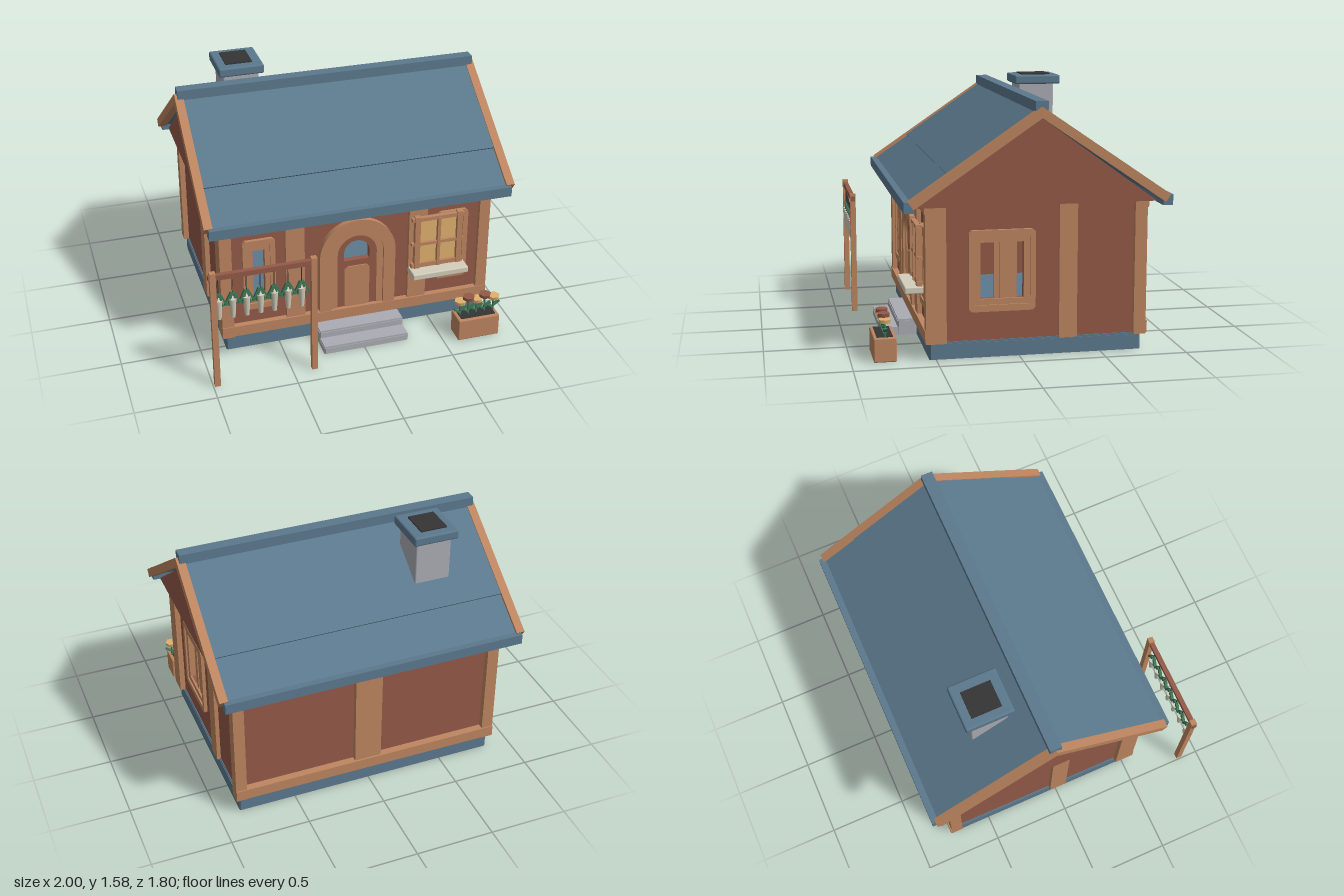
import * as THREE from 'three';
import { RoundedBoxGeometry } from 'three/addons/geometries/RoundedBoxGeometry.js';

const mat = (name, color) => {
  const m = new THREE.MeshStandardMaterial({ color });
  m.name = name;
  return m;
};

export function createModel() {
  const root = new THREE.Group();
  root.name = 'cottage';
  const trim = mat('timber', 0xbd8560);
  const wall = mat('wallBrown', 0x935a48);
  const roof = mat('slateBlue', 0x5b798d);
  const stone = mat('stone', 0xabacb4);
  const soot = mat('soot', 0x353535);
  const glow = mat('windowGlow', 0xe0b06e);
  const cream = mat('cream', 0xd4cebb);
  const leaf = mat('leafGreen', 0x3f7a5a);

  const add = (name, geo, m, parent = root) => {
    const mesh = new THREE.Mesh(geo, m);
    mesh.name = name;
    parent.add(mesh);
    return mesh;
  };
  // Box from its limits, optionally with softened edges
  const box = (name, m, x0, x1, y0, y1, z0, z1, parent = root, r = 0) => {
    const s = [x1 - x0, y1 - y0, z1 - z0];
    const geo = r ? new RoundedBoxGeometry(...s, 2, r) : new THREE.BoxGeometry(...s);
    const mesh = add(name, geo, m, parent);
    mesh.position.set((x0 + x1) / 2, (y0 + y1) / 2, (z0 + z1) / 2);
    return mesh;
  };
  const group = (name, x = 0, y = 0, z = 0) => {
    const g = new THREE.Group();
    g.name = name;
    g.position.set(x, y, z);
    root.add(g);
    return g;
  };
  const plate = (name, shape, depth, m, z, parent) => {
    const geo = new THREE.ExtrudeGeometry(shape, { depth, bevelEnabled: false, curveSegments: 16 });
    const mesh = add(name, geo, m, parent);
    mesh.position.z = z;
    return mesh;
  };
  // Rectangle with cut corners, centred on cx, cy
  const rect = (cx, cy, w, h, c = 0, Type = THREE.Shape) => {
    const a = w / 2, b = h / 2;
    const pts = c
      ? [[c - a, -b], [a - c, -b], [a, c - b], [a, b - c], [a - c, b], [c - a, b], [-a, b - c], [-a, c - b]]
      : [[-a, -b], [a, -b], [a, b], [-a, b]];
    return new Type(pts.map(([x, y]) => new THREE.Vector2(cx + x, cy + y)));
  };
  // Upright shape with a round head
  const arch = (cx, r, y0, yc, Type = THREE.Shape) => {
    const s = new Type();
    s.moveTo(cx - r, y0);
    s.lineTo(cx + r, y0);
    s.lineTo(cx + r, yc);
    s.absarc(cx, yc, r, 0, Math.PI, false);
    s.closePath();
    return s;
  };
  // Slab open underneath: a rim with a lid
  const hollowSlab = (name, m, x0, x1, h, z0, z1, t) => {
    const g = group(name);
    const cx = (x0 + x1) / 2, cy = -(z0 + z1) / 2;
    const rim = rect(cx, cy, x1 - x0, z1 - z0, 0.008);
    rim.holes.push(rect(cx, cy, x1 - x0 - 2 * t, z1 - z0 - 2 * t, 0, THREE.Path));
    plate(name + 'Rim', rim, h - 0.012, m, 0, g).rotation.x = -Math.PI / 2;
    box(name + 'Top', m, x0 + 0.004, x1 - 0.004, h - 0.014, h, z0 + 0.004, z1 - 0.004, g);
  };

  const X0 = -0.83, X1 = 0.855, CX = 0.0125, ZC = -0.105;
  const winY = 0.525, winH = 0.49, openH = 0.34;

  // Foundation and steps
  hollowSlab('foundation', roof, -0.84, 0.865, 0.105, -0.75, 0.54, 0.02);
  hollowSlab('upperStep', stone, -0.265, 0.29, 0.1, 0.54, 0.66, 0.012);
  hollowSlab('lowerStep', stone, -0.265, 0.29, 0.05, 0.65, 0.763, 0.012);

  // Front and back walls, the front one pierced
  const frontShape = rect(CX, 0.51, X1 - X0, 0.82);
  for (const x of [-0.617, 0.645]) frontShape.holes.push(rect(x, winY, 0.075, openH, 0, THREE.Path));
  frontShape.holes.push(arch(CX, 0.083, 0.515, 0.572, THREE.Path));
  plate('frontWall', frontShape, 0.03, wall, 0.5, root);
  box('backWall', wall, X0, X1, 0.1, 0.92, -0.735, -0.705);

  // Side walls with overhanging gables; local x runs towards the back
  for (const side of [1, -1]) {
    const g = group(side > 0 ? 'leftSide' : 'rightSide', side > 0 ? X1 : X0);
    g.rotation.y = Math.PI / 2;
    const s = rect(-ZC, 0.51, 1.27, 0.82);
    if (side > 0) s.holes.push(rect(-0.104, winY, 0.26, openH, 0, THREE.Path));
    plate('sideWall', s, 0.03, wall, side > 0 ? -0.03 : 0, g);
    const gable = new THREE.Shape([[-0.61, 0.922], [0.82, 0.922], [-ZC, 1.437]].map((p) => new THREE.Vector2(...p)));
    plate('gable', gable, 0.03, wall, side > 0 ? 0.045 : -0.075, g);
  }

  // Corner posts, wall posts and beams
  for (const [x0, x1] of [[-0.865, -0.79], [0.82, 0.89]]) {
    box('frontCornerPost', trim, x0, x1, 0.1, 0.92, 0.44, 0.563);
    box('backCornerPost', trim, x0, x1, 0.1, 0.92, -0.775, -0.7);
  }
  box('frontPost', trim, -0.45, -0.33, 0.11, 0.92, 0.49, 0.558);
  box('frontPost', trim, 0.35, 0.47, 0.11, 0.92, 0.49, 0.558);
  box('backPost', trim, -0.075, 0.1, 0.11, 0.92, -0.77, -0.69);
  box('leftPost', trim, 0.82, 0.88, 0.1, 0.92, -0.35, -0.24);
  box('rightPost', trim, -0.86, -0.82, 0.1, 0.92, -0.05, 0.065);
  for (const [y0, y1] of [[0.11, 0.18], [0.878, 0.922]]) {
    box('frontBeam', trim, -0.865, 0.89, y0, y1, 0.5, 0.568);
    box('backBeam', trim, -0.865, 0.89, y0, y1, -0.783, -0.7);
  }

  // Stepped window surrounds
  const surround = (name, x, z, w, mid, open, turn) => {
    const g = group(name, x, winY, z);
    g.rotation.y = turn;
    const outer = rect(0, 0, w, winH, 0.018);
    outer.holes.push(rect(0, 0, mid, 0.41, 0, THREE.Path));
    plate('outerFrame', outer, 0.022, trim, 0, g);
    const inner = rect(0, 0, mid, 0.41);
    inner.holes.push(rect(0, 0, open, openH, 0, THREE.Path));
    plate('innerFrame', inner, 0.042, trim, -0.03, g);
    return g;
  };
  surround('frontWindow', -0.617, 0.53, 0.205, 0.14, 0.075, 0);
  surround('frontWindow', 0.645, 0.53, 0.205, 0.14, 0.075, 0);
  const sideWindow = surround('sideWindow', X1, 0.104, 0.402, 0.335, 0.26, Math.PI / 2);
  for (let i = 0; i < 4; i++) {
    const x = -0.046 + i * 0.034;
    box('slat', trim, x, x + 0.034, -openH / 2, openH / 2, -0.025, i % 2 ? 0 : -0.006, sideWindow);
  }

  // Arched doorway
  const band = (R, r) => {
    const s = new THREE.Shape();
    s.moveTo(CX + r, 0.17);
    s.lineTo(CX + R, 0.17);
    s.lineTo(CX + R, 0.567);
    s.absarc(CX, 0.567, R, 0, Math.PI, false);
    s.lineTo(CX - R, 0.17);
    s.lineTo(CX - r, 0.17);
    s.lineTo(CX - r, 0.567);
    s.absarc(CX, 0.567, r, Math.PI, 0, true);
    s.closePath();
    return s;
  };
  const door = group('door');
  plate('outerArch', band(0.247, 0.17), 0.04, trim, 0.525, door);
  plate('innerArch', band(0.17, 0.128), 0.025, trim, 0.525, door);
  const leafShape = arch(CX, 0.13, 0.17, 0.567);
  leafShape.holes.push(arch(CX, 0.083, 0.515, 0.572, THREE.Path));
  plate('doorLeaf', leafShape, 0.01, wall, 0.53, door);
  plate('doorPanel', rect(CX, 0.325, 0.165, 0.3, 0.02), 0.008, trim, 0.54, door);

  // Lit casement with sill
  const casement = group('litWindow');
  box('glowingPanes', glow, 0.4, 0.68, 0.42, 0.76, 0.558, 0.567, casement);
  for (const [x0, x1] of [[0.38, 0.415], [0.53, 0.55], [0.66, 0.695]])
    box('upright', trim, x0, x1, 0.41, x0 === 0.53 ? 0.76 : 0.78, 0.556, 0.592, casement);
  for (const [y0, y1] of [[0.41, 0.44], [0.57, 0.59], [0.745, 0.77]])
    box('crossRail', trim, 0.362, 0.708, y0, y1, 0.556, 0.585, casement);
  box('sill', cream, 0.35, 0.72, 0.367, 0.41, 0.545, 0.665, casement, 0.008);

  // Roof slopes, each in a group hinged at the ridge
  const pitch = 0.598;
  for (const s of [1, -1]) {
    const g = group(s > 0 ? 'frontRoof' : 'backRoof', 0, 1.497, ZC);
    g.rotation.x = s * pitch;
    const slab = (name, m, x0, x1, y0, y1, a, b) =>
      box(name, m, x0, x1, y0, y1, Math.min(s * a, s * b), Math.max(s * a, s * b), g);
    slab('lowerShingles', roof, -0.92, 0.945, -0.045, -0.013, 0, 0.93);
    slab('upperShingles', roof, -0.92, 0.945, -0.04, -0.003, 0, 0.665);
    slab('bargeBoard', trim, -0.97, -0.917, -0.052, 0.002, 0, 0.94);
    slab('bargeBoard', trim, 0.942, 0.995, -0.052, 0.002, 0, 0.94);
    const z = ZC + s * 0.77;
    box('eaveBeam', roof, -0.945, 0.968, 0.9, 0.964, z - 0.03, z + 0.03);
  }
  box('ridgeCap', roof, -0.955, 0.98, 1.46, 1.531, -0.143, -0.068);

  // Chimney
  box('chimneyStack', stone, -0.627, -0.395, 1.1, 1.52, -0.5, -0.26, root, 0.01);
  box('chimneyCap', roof, -0.657, -0.365, 1.51, 1.57, -0.54, -0.23, root, 0.012);
  box('flue', soot, -0.602, -0.43, 1.55, 1.578, -0.482, -0.29);

  // Drying rack with hanging bundles
  const rack = group('dryingRack');
  for (const x of [-0.973, -0.363]) box('rackPost', trim, x - 0.018, x + 0.018, 0, 0.8, 0.857, 0.893, rack);
  box('rackBar', wall, -1, -0.34, 0.752, 0.785, 0.86, 0.89, rack);
  for (let i = 0; i < 7; i++) {
    const b = new THREE.Group();
    b.name = 'bundle';
    b.position.set(-0.942 + i * 0.084, 0, 0.875);
    rack.add(b);
    add('string', new THREE.CylinderGeometry(0.003, 0.003, 0.12, 5), soot, b).position.y = 0.7;
    add('root', new THREE.CylinderGeometry(0.025, 0.014, 0.13, 8), cream, b).position.y = 0.54;
    for (const k of [-2, -1, 1, 2]) {
      const l = add('leafBlade', new THREE.BoxGeometry(0.011, 0.09, 0.018), leaf, b);
      l.position.set(k * 0.014, 0.606, 0);
      l.rotation.z = k * 0.22;
    }
  }

  // Planter with flowers
  const planter = group('planter');
  box('planterBox', trim, 0.59, 0.865, 0, 0.147, 0.732, 0.868, planter, 0.008);
  box('soil', soot, 0.612, 0.843, 0.14, 0.151, 0.752, 0.848, planter);
  [0.62, 0.675, 0.73, 0.785, 0.845].forEach((x, i) => {
    const top = i % 2 ? 0.27 : 0.248;
    const stem = add('stem', new THREE.CylinderGeometry(0.006, 0.006, top - 0.14, 6), leaf, planter);
    stem.position.set(x, (top + 0.14) / 2, 0.8);
    for (const k of [-1, 1]) {
      const l = add('flowerLeaf', new THREE.BoxGeometry(0.05, 0.009, 0.022), leaf, planter);
      l.position.set(x + k * 0.02, 0.19 + k * 0.008, 0.8);
      l.rotation.z = k * 0.6;
    }
    const bloom = add('bloom', new THREE.CylinderGeometry(0.04, 0.037, 0.022, 6), i % 2 ? wall : glow, planter);
    bloom.position.set(x, top, 0.8);
    bloom.rotation.y = Math.PI / 2;
  });

  return root;
}
